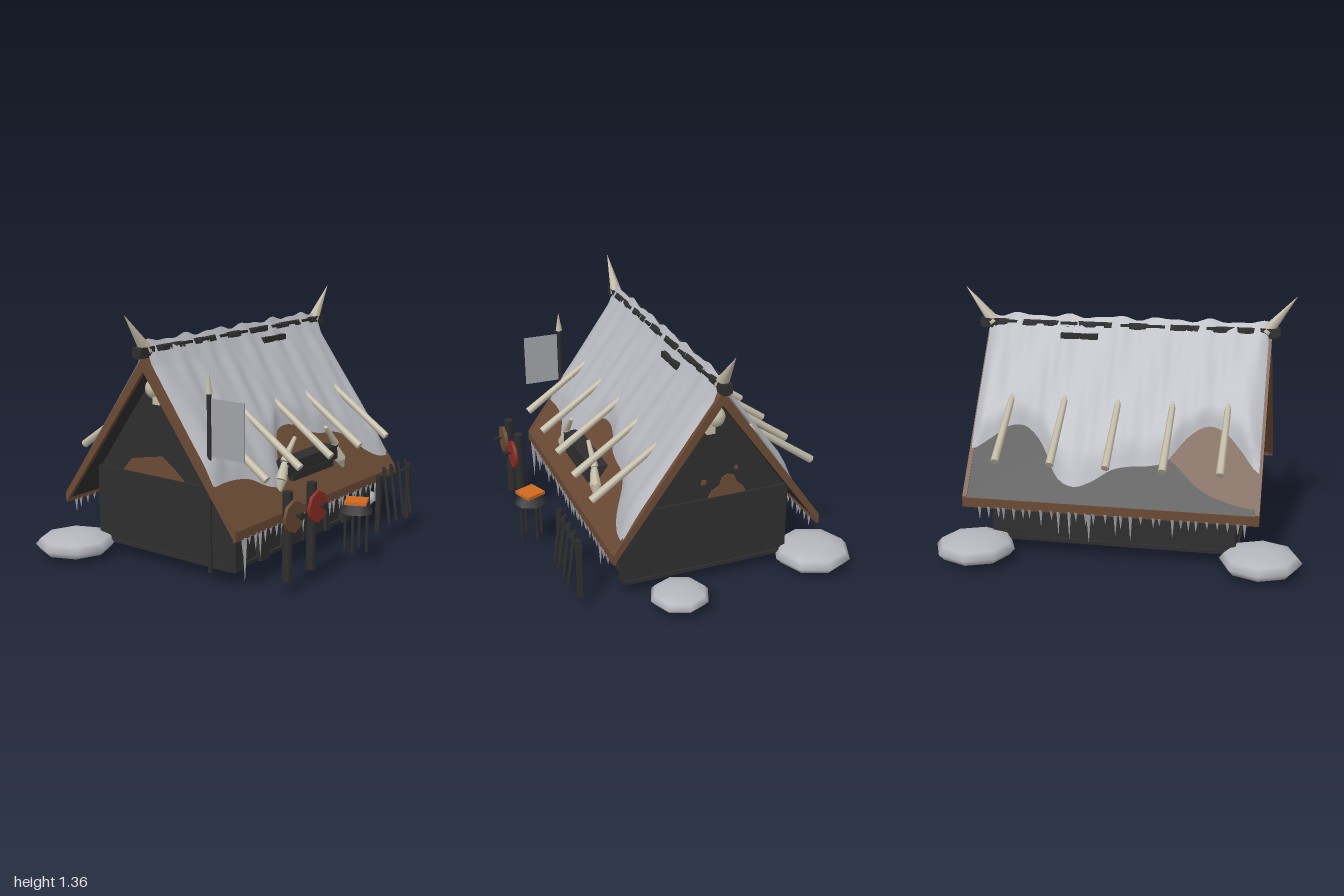
import * as THREE from 'three';

const mat = (name, color, side = THREE.FrontSide) => {
  const m = new THREE.MeshStandardMaterial({ color, side });
  m.name = name;
  return m;
};

export function createModel() {
  const root = new THREE.Group();
  root.name = 'snowyLonghouse';
  const dark = mat('charredWood', 0x2e2e2e);
  const brown = mat('brownWood', 0x6b4a35, THREE.DoubleSide);
  const snow = mat('snow', 0xb6b7be, THREE.DoubleSide);
  const bone = mat('bone', 0xc4bda8);
  const red = mat('redPaint', 0x8c2c24);
  const ember = mat('ember', 0xd06a20);
  const ice = mat('ice', 0xa2a3a8, THREE.DoubleSide);

  let seed = 7;
  const rand = () => (seed = (seed * 16807) % 2147483647) / 2147483647;
  const V = (x, y, z) => new THREE.Vector3(x, y, z);

  const add = (name, geo, material, x = 0, y = 0, z = 0) => {
    const m = new THREE.Mesh(geo, material);
    m.name = name;
    m.position.set(x, y, z);
    root.add(m);
    return m;
  };
  const box = (name, material, w, h, d, x, y, z) =>
    add(name, new THREE.BoxGeometry(w, h, d), material, x, y, z);
  // Tapered rod from a (radius ra) to b (radius rb)
  const rod = (name, material, a, b, ra, rb, sides = 6) => {
    const dir = b.clone().sub(a);
    const m = add(name, new THREE.CylinderGeometry(rb, ra, dir.length(), sides), material);
    m.position.copy(a).addScaledVector(dir, 0.5);
    m.quaternion.setFromUnitVectors(V(0, 1, 0), dir.normalize());
    return m;
  };
  // Outline in [z, y] extruded along x, centred on x
  const prism = (name, material, pts, depth, x = 0, z = 0) => {
    const shape = new THREE.Shape(pts.map(p => new THREE.Vector2(-p[0], p[1])));
    const geo = new THREE.ExtrudeGeometry(shape, { depth, bevelEnabled: false });
    geo.translate(0, 0, -depth / 2).rotateY(Math.PI / 2);
    return add(name, geo, material, x, 0, z);
  };

  // Main dimensions: ridge line, roof half span, slope
  const ZR = -0.04, SPAN = 0.575, RIDGE = 1.13, SLOPE = 1.383;
  const roofY = d => RIDGE - SLOPE * d;

  // Walls, floor slab and gables
  box('walls', dark, 1.31, 0.40, 0.90, 0, 0.28, ZR);
  box('floorSlab', dark, 1.33, 0.02, 0.93, 0, 0.08, ZR);
  prism('gables', dark, [[-0.43, 0.48], [0.43, 0.48], [0, 1.08]], 1.31, 0, ZR);
  for (const s of [1, -1]) {
    box('tieBeam', dark, 0.02, 0.02, 0.90, s * 0.66, 0.48, ZR);
    for (const x of [0.62, 0.4]) box('wallPost', dark, 0.07, 0.34, 0.04, s * x, 0.24, 0.425);
    box('doorJamb', dark, 0.04, 0.34, 0.04, s * 0.2, 0.24, 0.425);
  }
  box('door', dark, 0.34, 0.32, 0.02, 0, 0.235, 0.418);
  box('doorBar', dark, 0.08, 0.32, 0.02, 0, 0.235, 0.43);

  // Bare wood patches on the gables
  prism('gablePatch', brown, [[-0.025, 0.49], [-0.24, 0.49], [-0.225, 0.525], [-0.185, 0.56], [-0.17, 0.6],
    [-0.13, 0.61], [-0.1, 0.59], [-0.09, 0.55], [-0.045, 0.525]], 0.006, 0.658);
  prism('gablePatchSpot', brown, [[0.015, 0.57], [-0.015, 0.575], [-0.015, 0.595], [0.01, 0.6]], 0.006, 0.658);
  prism('gablePatchSpot', brown, [[-0.17, 0.63], [-0.19, 0.63], [-0.19, 0.65], [-0.175, 0.65]], 0.006, 0.658);
  prism('gablePatch', brown, [[0.12, 0.49], [-0.3, 0.49], [-0.24, 0.56], [-0.14, 0.58], [-0.03, 0.6], [0.06, 0.54]],
    0.006, -0.658);

  // Roof slabs, bargeboards and eave boards
  for (const s of [1, -1]) {
    const slab = [[0, RIDGE], [s * SPAN, roofY(SPAN)], [s * SPAN, 0.29], [0, 1.07]];
    prism(s > 0 ? 'frontRoof' : 'backRoof', s > 0 ? brown : dark, slab, 1.52, 0, ZR);
    box('eaveBoard', brown, 1.56, 0.052, 0.014, 0, 0.309, ZR + s * (SPAN - 0.003));
    prism('bargeboard', brown, [[0, 1.137], [SPAN, 0.34], [SPAN, 0.283], [0, 1.06],
      [-SPAN, 0.283], [-SPAN, 0.34]], 0.024, s * 0.769, ZR);
  }

  // Sheet lying on a roof slope between two distances from the ridge
  const spline = vals => {
    const c = new THREE.SplineCurve(vals.map((v, i) => new THREE.Vector2(i, v)));
    return u => c.getPoint(u).y;
  };
  const sheet = (name, material, s, x0, x1, top, bottom, place) => {
    const geo = new THREE.PlaneGeometry(1, 1, 56, 14), p = geo.attributes.position;
    for (let i = 0; i < p.count; i++) {
      const a = p.getX(i) + 0.5, v = 0.5 - p.getY(i), u = s > 0 ? a : 1 - a;
      const x = x0 + (x1 - x0) * u, d = top + (bottom(u) - top) * v;
      const [t, lift] = place(x, v);
      p.setXYZ(i, x, roofY(d) + 0.586 * t + lift, ZR + s * (d + 0.81 * t));
    }
    geo.computeVertexNormals();
    return add(name, geo, material);
  };
  const frontY = spline([0.53, 0.535, 0.53, 0.51, 0.46, 0.45, 0.57, 0.67, 0.69, 0.67, 0.62, 0.6, 0.59, 0.55,
    0.46, 0.41, 0.4]);
  const backZ = spline([0.49, 0.42, 0.36, 0.345, 0.385, 0.46, 0.48, 0.485, 0.5, 0.54, 0.56, 0.53, 0.43, 0.375,
    0.375, 0.42, 0.46]);
  const drift = (x, v) => {
    const side = Math.min(1, (0.79 - Math.abs(x)) / 0.06);
    const ripple = 0.004 * Math.sin(x * 31 + v * 5) + 0.003 * Math.sin(x * 53);
    const t = v === 0 ? 0 : Math.min(1, (1 - v) * 6) * (0.036 + ripple) * side + 0.002;
    const crest = v === 0 ? 0.08 + 0.008 * Math.sin(x * 24) + 0.006 * Math.sin(x * 41 + 1) : 0;
    return [t, crest];
  };
  sheet('frontSnow', snow, 1, -0.765, 0.772, 0, u => (RIDGE - frontY(u)) / SLOPE, drift);
  sheet('backSnow', snow, -1, -0.765, 0.772, 0, u => backZ(u) - 0.04, drift);
  sheet('backRoofPatch', brown, -1, -0.775, -0.3, 0.28, spline([0.555, 0.54, 0.5, 0.42]), () => [0.003, 0]);

  // Ridge log, shingles showing through the snow, and horns at both ends
  rod('ridgeLog', dark, V(-0.825, 1.157, ZR), V(0.825, 1.157, ZR), 0.032, 0.032, 6);
  for (const s of [1, -1]) {
    box('looseShingle', dark, 0.205, 0.03, 0.05, 0.255, 1.112, ZR + s * 0.05);
    for (let i = 0; i < 9; i++)
      box('ridgeShingle', dark, 0.05 + 0.06 * rand(), 0.014, 0.02, -0.64 + i * 0.16, 1.174, ZR + s * 0.025);
    box('ridgeCap', dark, 0.1, 0.05, 0.06, s * 0.77, 1.16, ZR);
    rod('ridgeHorn', bone, V(s * 0.75, 1.16, ZR), V(s * 0.906, 1.355, ZR), 0.036, 0.001, 7);
    // Gable skull
    add('gableSkull', new THREE.SphereGeometry(0.056, 10, 8), bone, s * 0.69, 0.965, ZR + 0.004);
    box('skullJaw', bone, 0.05, 0.05, 0.045, s * 0.7, 0.912, ZR + 0.035);
  }

  // Rib bones leaning on both slopes
  for (const s of [1, -1]) for (let i = -2; i <= 2; i++) {
    const x = i * 0.291, a = V(x, 0.56, ZR + s * 0.622), b = V(x, 0.82, ZR + s * 0.25);
    rod('roofBone', bone, a, b, 0.022, 0.017, 7);
  }

  // Door lintel with tusks and hanging banners
  box('lintel', dark, 0.49, 0.075, 0.1, 0, 0.52, 0.42);
  box('lintelBase', dark, 0.39, 0.04, 0.09, 0, 0.47, 0.43);
  for (const s of [1, -1]) {
    rod('tuskTip', bone, V(s * 0.25, 0.565, 0.45), V(s * 0.148, 0.675, 0.45), 0.02, 0.011, 7);
    rod('tusk', bone, V(s * 0.235, 0.56, 0.45), V(s * 0.285, 0.475, 0.46), 0.018, 0.032, 7);
    rod('tuskRoot', bone, V(s * 0.285, 0.475, 0.46), V(s * 0.305, 0.42, 0.46), 0.032, 0.016, 7);
    box('banner', red, 0.05, 0.16, 0.008, s > 0 ? 0.335 : -0.45, 0.335, 0.45);
  }

  // Icicles under both eaves
  for (const s of [1, -1]) for (let i = 0; i < 30; i++) {
    const x = -0.73 + 1.46 * (i + 0.6 * rand()) / 30, len = 0.03 + 0.11 * rand() * rand();
    const z = ZR + s * (SPAN - 0.002);
    rod('icicle', ice, V(x, 0.29, z), V(x, 0.28 - len, z), 0.011, 0.001, 5);
  }
  rod('longIcicle', ice, V(-0.695, 0.285, 0.533), V(-0.695, 0.065, 0.533), 0.014, 0.001, 5);
  rod('longIcicle', ice, V(0.1, 0.285, -0.612), V(0.1, 0.13, -0.612), 0.014, 0.001, 5);

  // Banner spear standing through the roof
  rod('spearShaft', dark, V(-0.722, 0.07, 0.335), V(-0.722, 0.99, 0.335), 0.012, 0.012, 6);
  rod('spearTip', bone, V(-0.722, 0.985, 0.335), V(-0.722, 1.09, 0.335), 0.02, 0.001, 6);
  box('spearFlag', ice, 0.005, 0.29, 0.2, -0.722, 0.818, 0.45);

  // Shields on posts
  for (const [x, paint] of [[-0.58, brown], [-0.37, red]]) {
    rod('shieldPost', dark, V(x, 0.07, 0.705), V(x, 0.525, 0.705), 0.028, 0.028, 6);
    rod('shield', paint, V(x, 0.405, 0.732), V(x, 0.405, 0.75), 0.082, 0.082, 8);
    rod('shieldBoss', dark, V(x, 0.415, 0.75), V(x, 0.415, 0.793), 0.003, 0.021, 6);
  }

  // Brazier
  rod('brazierBowl', dark, V(0, 0.288, 0.745), V(0, 0.34, 0.745), 0.09, 0.055, 8);
  box('brazierEmbers', ember, 0.115, 0.018, 0.115, 0, 0.344, 0.745).rotation.y = 0.4;
  for (let i = 0; i < 4; i++) {
    const a = i * Math.PI / 2 + 0.25, x = 0.06 * Math.sin(a), z = 0.745 + 0.06 * Math.cos(a);
    rod('brazierLeg', dark, V(x, 0.07, z), V(x, 0.3, z), 0.009, 0.009, 5);
  }

  // Weapon rack
  box('rackRail', dark, 0.37, 0.022, 0.022, 0.51, 0.365, 0.684);
  for (const x of [0.338, 0.672]) box('rackPost', dark, 0.026, 0.33, 0.026, x, 0.235, 0.684);
  for (const x of [0.385, 0.463, 0.545, 0.625])
    rod('rackSpear', dark, V(x, 0.12, 0.73), V(x, 0.435, 0.685), 0.01, 0.01, 5);

  // Snow mounds around the walls
  for (const [x, y, z, r, h] of [[-0.79, 0.068, -0.545, 0.215, 0.068], [0.712, 0.068, -0.628, 0.215, 0.068],
    [0.845, 0.07, 0.207, 0.158, 0.048]])
    add('snowMound', new THREE.SphereGeometry(1, 8, 6), snow, x, y, z).scale.set(r, h, r);

  return root;
}
